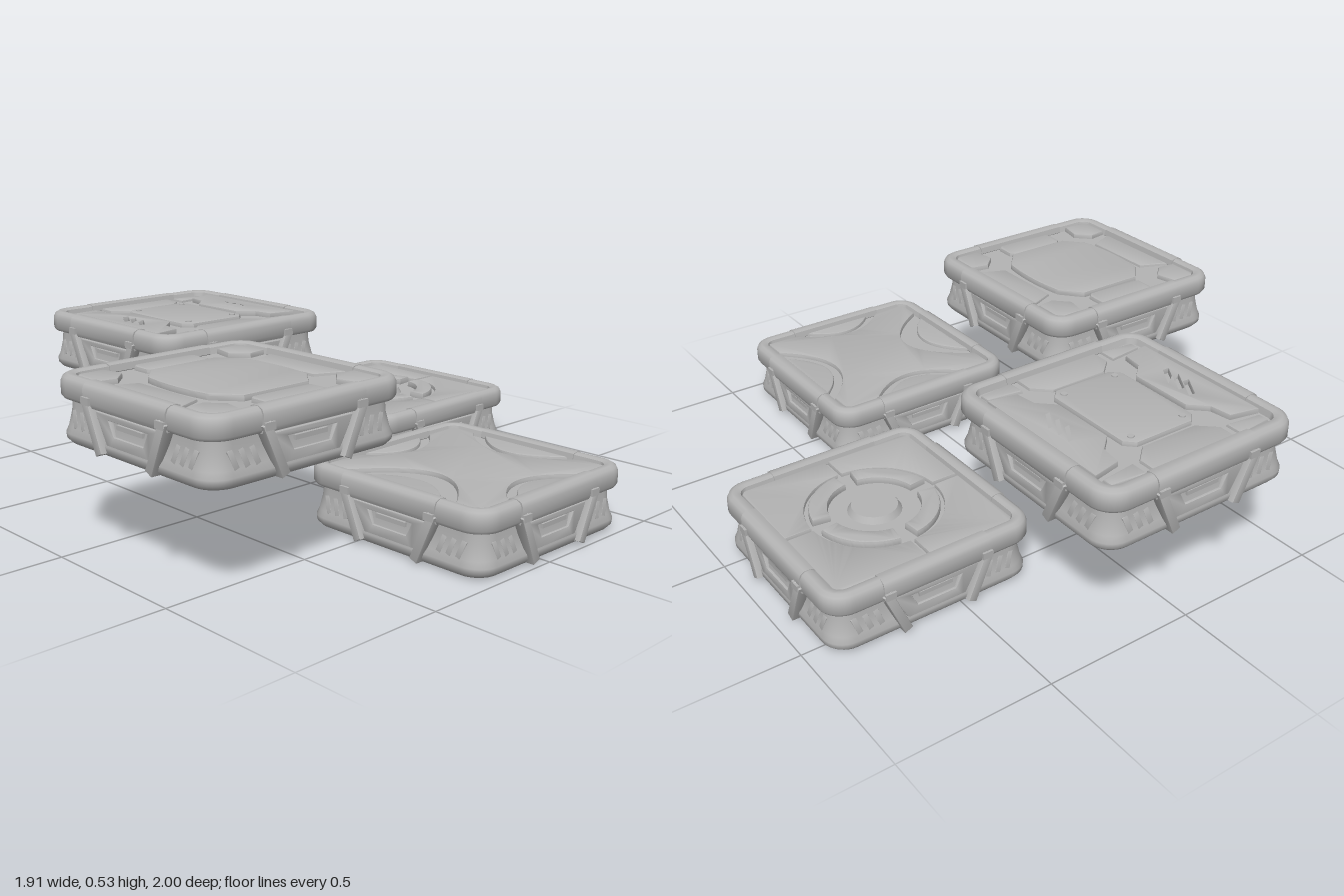
import * as THREE from 'three';
import { toCreasedNormals } from 'three/addons/utils/BufferGeometryUtils.js';

const metal = new THREE.MeshStandardMaterial({ color: 0xb4b4b4 });
metal.name = 'plain grey';

function add(parent, name, geometry) {
  const mesh = new THREE.Mesh(geometry, metal);
  mesh.name = name;
  parent.add(mesh);
  return mesh;
}

// Stacks rounded squares [half width, corner radius, y] into one skin
function loftSquares(rings) {
  const pos = [], index = [], steps = 8, n = 4 * (steps + 1);
  for (const [h, r, y] of rings) {
    for (let c = 0; c < 4; c++) {
      const mid = (c + 0.5) * Math.PI / 2;
      const cx = Math.sign(Math.cos(mid)) * (h - r), cz = Math.sign(Math.sin(mid)) * (h - r);
      for (let s = 0; s <= steps; s++) {
        const a = (c + s / steps) * Math.PI / 2;
        pos.push(cx + r * Math.cos(a), y, cz + r * Math.sin(a));
      }
    }
  }
  for (let i = 0; i < rings.length - 1; i++) {
    for (let j = 0; j < n; j++) {
      const a = i * n + j, b = i * n + (j + 1) % n;
      index.push(a, a + n, b, b, a + n, b + n);
    }
  }
  const g = new THREE.BufferGeometry();
  g.setAttribute('position', new THREE.Float32BufferAttribute(pos, 3));
  g.setIndex(index);
  return toCreasedNormals(g, 0.75);
}

const polygon = pts => new THREE.Shape(pts.map(p => new THREE.Vector2(p[0], p[1])));

function bevelled(shape, depth, bevel) {
  const g = new THREE.ExtrudeGeometry(shape, {
    depth, curveSegments: 20, bevelSize: bevel, bevelThickness: bevel, bevelOffset: -bevel, bevelSegments: 2,
  });
  return toCreasedNormals(g, 0.6);
}

// Plate lying flat, drawn in (x, z), with its upper face at the given height
function plate(parent, name, shape, top, bevel = 0.006) {
  return add(parent, name, bevelled(shape, 0.024, bevel).rotateX(Math.PI / 2).translate(0, top - bevel, 0));
}

function button(parent, name, x, z, radius, top) {
  const g = new THREE.CylinderGeometry(radius * 0.85, radius, 0.02, 24).translate(x, top - 0.01, z);
  return add(parent, name, g);
}

// Straight bar in the plane of a side wall, from a to b
function bar(parent, name, a, b, width, depth) {
  const dx = b[0] - a[0], dy = b[1] - a[1], len = Math.hypot(dx, dy);
  const g = bevelled(polygon([[-width / 2, 0], [width / 2, 0], [width / 2, len], [-width / 2, len]]), depth, 0.004);
  const mesh = add(parent, name, g);
  mesh.rotation.z = -Math.atan2(dx, dy);
  mesh.position.set(a[0], a[1], a[2]);
  return mesh;
}

// Clamp, handle recess and vents of one side
function buildSide() {
  const side = new THREE.Group();
  side.name = 'sideFittings';

  // Band over the rim
  const band = polygon([[0.314, 0.186], [0.319, 0.207], [0.333, 0.2105], [0.35, 0.2105], [0.365, 0.203],
    [0.371, 0.19], [0.371, 0.152], [0.365, 0.138], [0.34, 0.136]]);
  const bandGeo = new THREE.ExtrudeGeometry(band, { depth: 0.38, bevelEnabled: false });
  bandGeo.translate(0, 0, -0.19).rotateY(-Math.PI / 2);
  add(side, 'rimBand', toCreasedNormals(bandGeo, 0.7));

  // Recessed handle plate with a slot
  const panel = polygon([[-0.155, 0.13], [-0.095, 0.025], [0.095, 0.025], [0.155, 0.13]]);
  panel.holes.push(new THREE.Path([[-0.09, 0.113], [-0.068, 0.07], [0.068, 0.07], [0.09, 0.113]]
    .map(p => new THREE.Vector2(...p))));
  const plateMesh = add(side, 'handlePlate', bevelled(panel, 0.015, 0.003));
  plateMesh.position.z = 0.338;
  add(side, 'handleBar', new THREE.BoxGeometry(0.12, 0.014, 0.012).translate(0, 0.1, 0.345));

  for (const s of [-1, 1]) {
    bar(side, 'clampStrut', [s * 0.115, 0.012, 0.335], [s * 0.182, 0.165, 0.335], 0.03, 0.038);
    add(side, 'clampFoot', new THREE.BoxGeometry(0.036, 0.022, 0.03).translate(s * 0.172, 0.158, 0.364));
    for (let i = 0; i < 3; i++) {
      const x = s * (0.19 + i * 0.037);
      const vent = bar(side, 'vent', [x, 0.052, 0.338], [x + s * 0.018, 0.106, 0.338], 0.02, 0.01);
      vent.rotation.x = -0.18;
    }
  }
  return side;
}

const chamfered = (w, d, c) => polygon([[-w + c, -d], [w - c, -d], [w, -d + c], [w, d - c],
  [w - c, d], [-w + c, d], [-w, d - c], [-w, -d + c]]);

// Lid with a bolted centre panel and slotted side plates
function boltedLid(lid) {
  plate(lid, 'centrePanel', chamfered(0.135, 0.185, 0.03), 0.2);
  for (const s of [-1, 1]) {
    const sidePlate = polygon([[0.312, -0.25], [0.215, -0.23], [0.205, -0.16], [0.152, -0.11], [0.152, 0.11],
      [0.205, 0.16], [0.215, 0.23], [0.312, 0.25]].map(([x, z]) => [x * s, z]));
    for (let i = -1; i <= 1; i++) {
      const z = i * 0.045;
      sidePlate.holes.push(new THREE.Path([[0.2, 0.045], [0.222, 0.045], [0.268, -0.03], [0.246, -0.03]]
        .map(([x, dz]) => new THREE.Vector2(s * 0.234 + (x - 0.234), z + dz))));
    }
    plate(lid, 'slottedPlate', sidePlate, 0.202, 0.003);
    plate(lid, 'endPlate', polygon([[-0.1, s * 0.2], [0.1, s * 0.2], [0.155, s * 0.25], [0.155, s * 0.314],
      [-0.155, s * 0.314], [-0.155, s * 0.25]]), 0.194);
    for (const t of [-1, 1]) {
      button(lid, 'bolt', s * 0.1, t * 0.15, 0.012, 0.204);
      plate(lid, 'cornerPlate', polygon([[s * 0.18, t * 0.25], [s * 0.3, t * 0.265], [s * 0.3, t * 0.3],
        [s * 0.18, t * 0.312]]), 0.193);
    }
  }
}

// Lid with a large eight-sided panel
function octagonLid(lid) {
  const oct = new THREE.Shape();
  oct.moveTo(-0.12, -0.212);
  oct.lineTo(0.12, -0.212);
  oct.lineTo(0.182, -0.14);
  oct.quadraticCurveTo(0.208, 0, 0.182, 0.14);
  oct.lineTo(0.12, 0.212);
  oct.lineTo(-0.12, 0.212);
  oct.lineTo(-0.182, 0.14);
  oct.quadraticCurveTo(-0.208, 0, -0.182, -0.14);
  plate(lid, 'octagonPanel', oct, 0.203);
  for (const s of [-1, 1]) {
    plate(lid, 'endTab', chamfered(0.115, 0.047, 0.015), 0.198).position.z = s * 0.267;
    plate(lid, 'sidePlate', polygon([[s * 0.215, -0.13], [s * 0.312, -0.17], [s * 0.312, 0.17], [s * 0.215, 0.13]]), 0.193);
    for (const t of [-1, 1]) {
      plate(lid, 'cornerPlate', polygon([[s * 0.2, t * 0.24], [s * 0.25, t * 0.19], [s * 0.314, t * 0.2],
        [s * 0.314, t * 0.3], [s * 0.3, t * 0.314], [s * 0.215, t * 0.314]]), 0.201);
    }
  }
}

// Lid with a round boss, a broken ring and four quarter plates
function ringLid(lid) {
  button(lid, 'centreBoss', 0, 0, 0.088, 0.203);
  for (let i = 0; i < 4; i++) {
    const quarter = new THREE.Group();
    quarter.name = 'lidQuarter';
    quarter.rotation.y = i * Math.PI / 2;
    const arc = new THREE.Shape();
    arc.absarc(0, 0, 0.208, 0.14, Math.PI / 2 - 0.14, false);
    arc.absarc(0, 0, 0.148, Math.PI / 2 - 0.14, 0.14, true);
    plate(quarter, 'ringSegment', arc, 0.206);
    const corner = new THREE.Shape();
    corner.moveTo(0.314, 0.006);
    corner.lineTo(0.314, 0.3);
    corner.lineTo(0.3, 0.314);
    corner.lineTo(0.006, 0.314);
    corner.absarc(0, 0, 0.222, Math.PI / 2 - 0.03, 0.03, true);
    plate(quarter, 'quarterPlate', corner, 0.197, 0.004);
    lid.add(quarter);
  }
}

// Lid with a waisted cross plate and curved pockets on all sides
function crossLid(lid) {
  const cross = new THREE.Shape();
  cross.moveTo(-0.312, -0.312);
  cross.lineTo(-0.18, -0.312);
  cross.quadraticCurveTo(0, -0.12, 0.18, -0.312);
  cross.lineTo(0.312, -0.312);
  cross.lineTo(0.312, -0.22);
  cross.quadraticCurveTo(0.06, 0, 0.312, 0.22);
  cross.lineTo(0.312, 0.312);
  cross.lineTo(0.18, 0.312);
  cross.quadraticCurveTo(0, 0.12, -0.18, 0.312);
  cross.lineTo(-0.312, 0.312);
  cross.lineTo(-0.312, 0.22);
  cross.quadraticCurveTo(0.04, 0, -0.312, -0.22);
  plate(lid, 'crossPlate', cross, 0.2, 0.008);
  for (let i = 0; i < 4; i++) {
    const w = i % 2 ? 0.17 : 0.135;
    const lens = new THREE.Shape();
    lens.moveTo(-w, 0.312);
    lens.quadraticCurveTo(0, i % 2 ? 0.12 : 0.17, w, 0.312);
    plate(lid, 'pocketLens', lens, 0.196).rotation.y = i * Math.PI / 2;
  }
}

// Platform body: rounded base, waist, overhanging rim and sunken top
function buildPlatform(name, lidBuilder) {
  const tile = new THREE.Group();
  tile.name = name;
  add(tile, 'body', loftSquares([[0, 0, 0], [0.325, 0.06, 0], [0.345, 0.07, 0.006], [0.357, 0.075, 0.02],
    [0.358, 0.075, 0.036], [0.35, 0.07, 0.055], [0.342, 0.07, 0.1], [0.34, 0.07, 0.138], [0.36, 0.078, 0.14],
    [0.366, 0.08, 0.15], [0.366, 0.08, 0.188], [0.36, 0.076, 0.202], [0.348, 0.066, 0.209], [0.334, 0.052, 0.209],
    [0.322, 0.04, 0.204], [0.316, 0.034, 0.184], [0, 0, 0.184]]));
  for (let i = 0; i < 4; i++) {
    const side = buildSide();
    side.rotation.y = i * Math.PI / 2;
    tile.add(side);
  }
  const lid = new THREE.Group();
  lid.name = 'lid';
  lidBuilder(lid);
  tile.add(lid);
  return tile;
}

export function createModel() {
  const model = new THREE.Group();
  model.name = 'floatingPlatforms';
  const layout = [
    ['boltedPlatform', boltedLid, -0.045, 0.32, -0.625, 1],
    ['octagonPlatform', octagonLid, -0.58, 0.32, 0.265, 1],
    ['ringPlatform', ringLid, 0.59, 0, -0.235, 0.965],
    ['crossPlatform', crossLid, 0.06, 0, 0.63, 0.965],
  ];
  for (const [name, lid, x, y, z, s] of layout) {
    const tile = buildPlatform(name, lid);
    tile.position.set(x, y, z);
    tile.scale.set(s, 1, s);
    model.add(tile);
  }
  return model;
}
